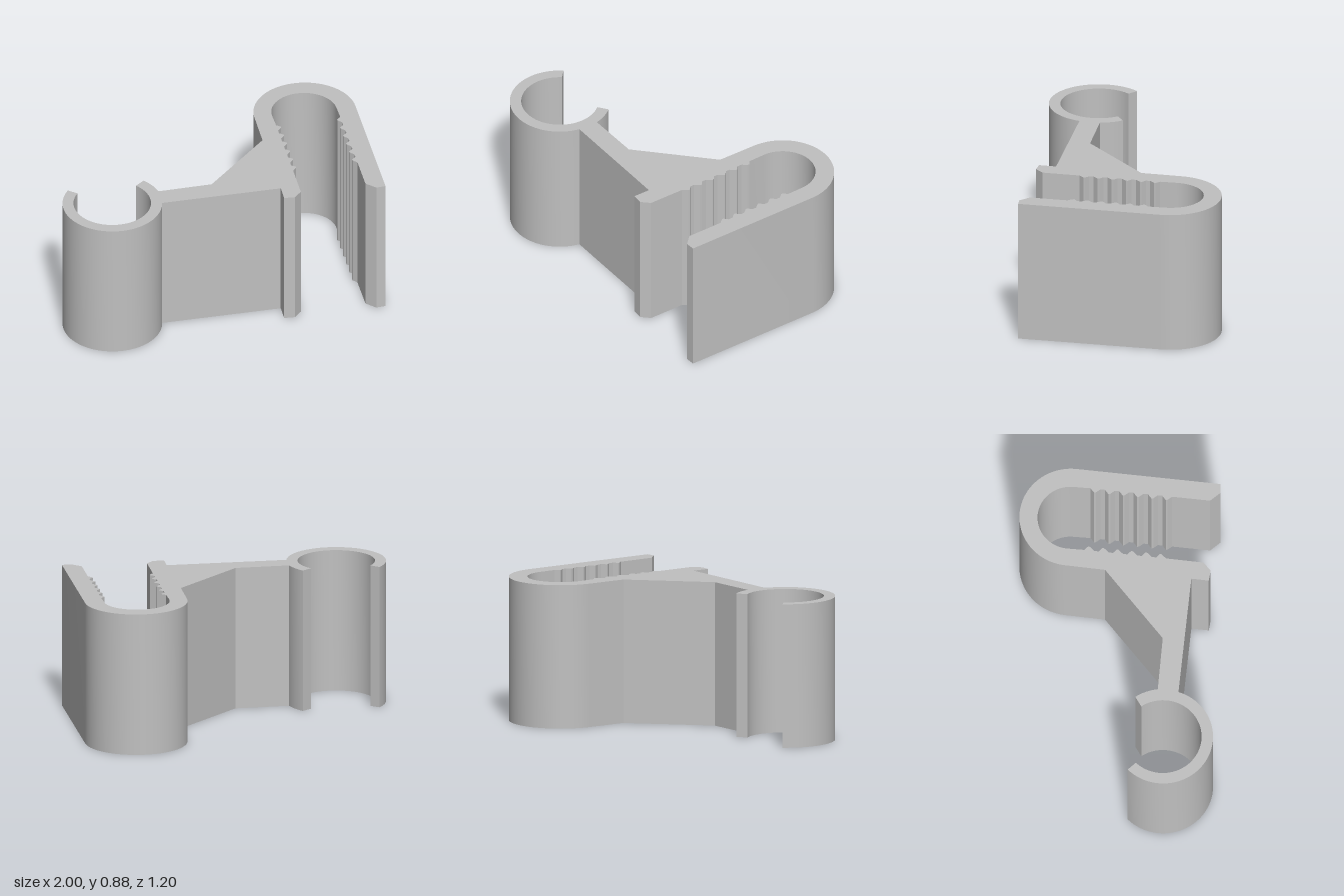
import * as THREE from 'three';
import { toCreasedNormals } from 'three/addons/utils/BufferGeometryUtils.js';

const HEIGHT = 0.876;

// Points along an arc in the (x, z) plane
function arc(cx, cz, r, from, to, steps) {
  return Array.from({ length: steps + 1 }, (_, i) => {
    const a = from + (to - from) * i / steps;
    return [cx + r * Math.cos(a), cz + r * Math.sin(a)];
  });
}

// Six grip teeth along a sloping wall; side is the direction they stick out in x
function teeth(x0, z0, slope, firstPeak, side) {
  const points = [];
  for (let i = 0; i < 6; i++) {
    const z = firstPeak + i * 0.0865;
    const wall = (zz) => x0 + slope * (zz - z0);
    points.push(
      [wall(z - 0.026), z - 0.026],
      [wall(z) + side * 0.025, z - 0.004],
      [wall(z) + side * 0.023, z + 0.007],
      [wall(z + 0.034), z + 0.034],
    );
  }
  return points;
}

export function createModel() {
  const plastic = new THREE.MeshStandardMaterial({ color: 0xc0c0c0 });
  plastic.name = 'grey plastic';

  const tilt = 0.085;
  const outline = [
    // Arm, back side, widening into the gusset
    [-0.07, 0.278], [0.358, -0.08],
    // Hook, outside bend and long leg
    ...arc(0.69, -0.294, 0.31, Math.PI + tilt, 2 * Math.PI + tilt, 40),
    [0.925, 0.6], [0.868, 0.6], [0.817, 0.54],
    // Hook, inside: toothed leg, bend, toothed leg
    ...teeth(0.885, -0.27, -0.084, -0.155, -1).reverse(),
    ...arc(0.686, -0.297, 0.198, tilt, -Math.PI + tilt, 36),
    ...teeth(0.491, -0.31, -0.085, -0.182, 1),
    // Short leg with its lip
    [0.42, 0.51], [0.37, 0.555], [0.305, 0.545], [0.315, 0.44],
    // Arm front side, then the open ring
    ...arc(-0.70, 0.297, 0.30, 0.285, 3.908, 48),
    ...arc(-0.70, 0.295, 0.233, 3.888, -0.617, 56),
    ...arc(-0.70, 0.297, 0.305, -0.609, -0.133, 8),
  ];

  const shape = new THREE.Shape(outline.map(([x, z]) => new THREE.Vector2(x, -z)));
  const geometry = new THREE.ExtrudeGeometry(shape, { depth: HEIGHT, bevelEnabled: false });
  geometry.rotateX(-Math.PI / 2);

  const clip = new THREE.Mesh(toCreasedNormals(geometry, 0.3), plastic);
  clip.name = 'hookAndRingClip';

  const model = new THREE.Group();
  model.name = 'clip';
  model.add(clip);
  return model;
}
